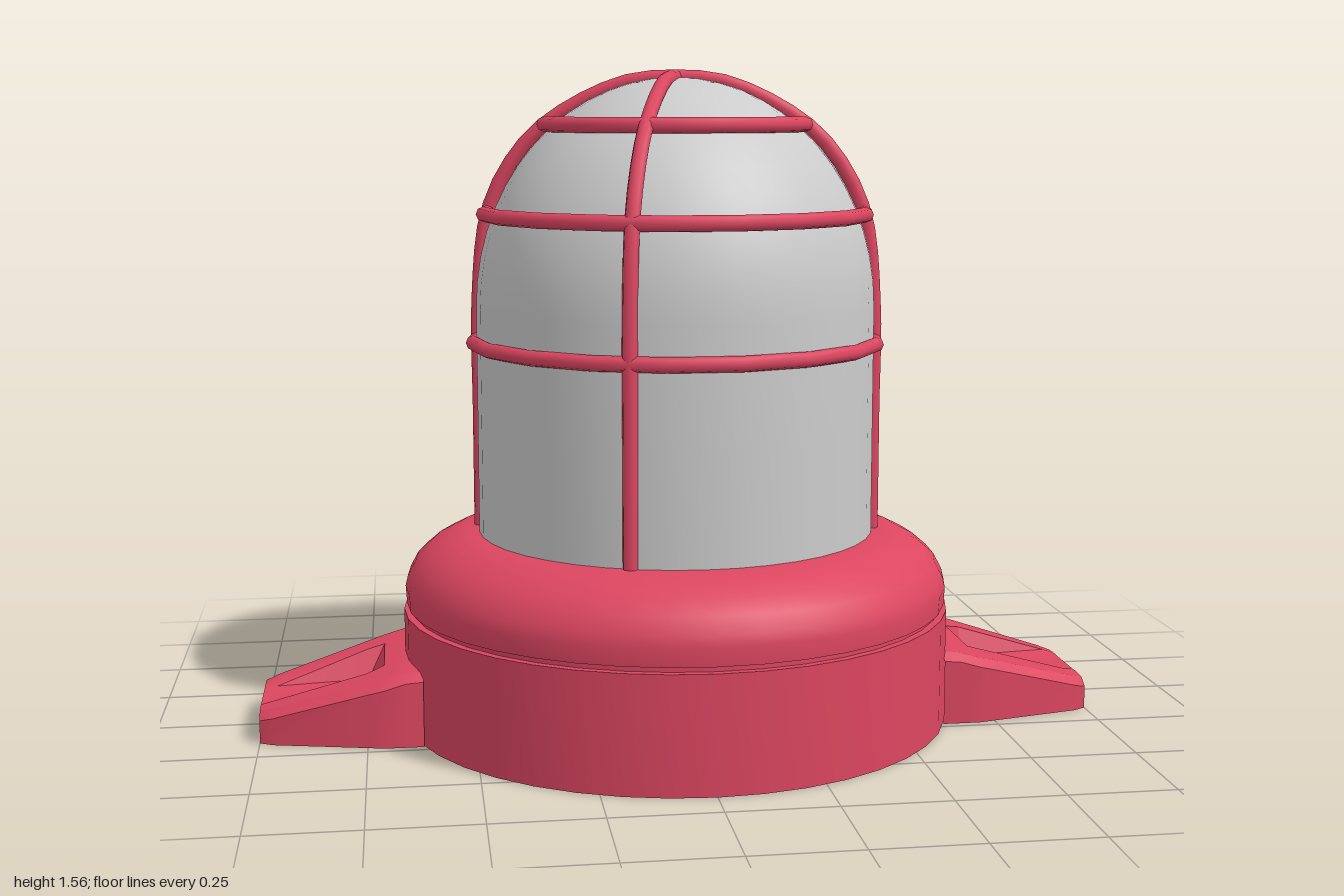
import * as THREE from 'three';
import { toCreasedNormals } from 'three/addons/utils/BufferGeometryUtils.js';

const red = new THREE.MeshStandardMaterial({ color: 0xdc4660, side: THREE.DoubleSide });
const grey = new THREE.MeshStandardMaterial({ color: 0xcccccc, side: THREE.DoubleSide });

function add(parent, name, geometry, material) {
  const mesh = new THREE.Mesh(geometry, material);
  mesh.name = name;
  parent.add(mesh);
  return mesh;
}

function lathe(points, segments = 40, crease = 0.6) {
  const profile = points.map(([r, y]) => new THREE.Vector2(r, y));
  return toCreasedNormals(new THREE.LatheGeometry(profile, segments), crease);
}

// Mounting foot: a hollow shell lofted along +x, with a sloped screw recess on top.
// Each station: x, half width, height, recess half width, recess floor height
function footGeometry() {
  const stations = [
    [0.62, 0.23, 0.175, 0.11, 0.175],
    [0.66, 0.23, 0.172, 0.11, 0.172],
    [0.71, 0.23, 0.157, 0.11, 0.157],
    [0.75, 0.22, 0.146, 0.108, 0.078],
    [0.97, 0.168, 0.083, 0.09, 0.074],
    [1.0, 0.15, 0.074, 0.085, 0.073],
  ];
  const sections = stations.map(([x, w, h, t, floor]) => {
    const half = [[w, 0], [w, h - 0.02], [w - 0.025, h - 0.002], [t, h], [t - 0.028, floor]];
    const loop = [...half.map(([z, y]) => [-z, y]), ...half.reverse()];
    return loop.map(([z, y]) => new THREE.Vector3(x, y, z));
  });
  const corners = [];
  for (let i = 0; i < sections.length - 1; i++) {
    const a = sections[i], b = sections[i + 1];
    for (let j = 0; j < a.length - 1; j++) {
      corners.push(a[j], a[j + 1], b[j], b[j], a[j + 1], b[j + 1]);
    }
  }
  // outer end cap
  const end = sections[sections.length - 1];
  const middle = new THREE.Vector3(1, 0, 0);
  for (let j = 0; j < end.length - 1; j++) corners.push(end[j], end[j + 1], middle);
  return toCreasedNormals(new THREE.BufferGeometry().setFromPoints(corners), 0.5);
}

export function createModel() {
  const model = new THREE.Group();
  model.name = 'cagedLamp';

  // hollow base, groove and rounded collar
  add(model, 'base', lathe([[0.66, 0], [0.66, 0.274], [0.635, 0.274]]), red);
  add(model, 'baseCeiling', lathe([[0, 0.262], [0.64, 0.262]]), red);
  add(model, 'groove', lathe([[0.642, 0.262], [0.642, 0.295]]), red);
  add(model, 'collar', lathe([
    [0.635, 0.287], [0.653, 0.287], [0.656, 0.33], [0.65, 0.355], [0.63, 0.392],
    [0.595, 0.422], [0.55, 0.445], [0.505, 0.458], [0.46, 0.458],
  ]), red);

  // glass: straight wall running into an elliptical dome
  const dome = [[0.477, 0.44], [0.477, 0.72]];
  for (let i = 0; i <= 14; i++) {
    const a = (i / 14) * Math.PI / 2;
    dome.push([0.477 * Math.cos(a), 1.0 + 0.54 * Math.sin(a)]);
  }
  add(model, 'glassDome', lathe(dome, 40, 1), grey);

  // wire cage
  const cage = new THREE.Group();
  cage.name = 'cage';
  model.add(cage);
  for (const [radius, y] of [[0.485, 0.915], [0.457, 1.22], [0.312, 1.43]]) {
    const ring = add(cage, 'cageRing', new THREE.TorusGeometry(radius, 0.018, 8, 18), red);
    ring.rotation.x = Math.PI / 2;
    ring.position.y = y;
  }
  const side = [[0.475, 0.44], [0.475, 0.75], [0.475, 1.0], [0.45, 1.22],
    [0.39, 1.345], [0.305, 1.435], [0.13, 1.525]];
  const arch = [
    ...side.map(([x, y]) => new THREE.Vector3(-x, y, 0)),
    new THREE.Vector3(0, 1.54, 0),
    ...side.map(([x, y]) => new THREE.Vector3(x, y, 0)).reverse(),
  ];
  const archGeometry = new THREE.TubeGeometry(new THREE.CatmullRomCurve3(arch), 48, 0.018, 8);
  for (const degrees of [-10, 70]) {
    const rib = add(cage, 'cageRib', archGeometry, red);
    rib.rotation.y = THREE.MathUtils.degToRad(degrees);
  }

  // mounting feet on both sides
  const foot = footGeometry();
  add(model, 'leftFoot', foot, red);
  add(model, 'rightFoot', foot, red).rotation.y = Math.PI;

  return model;
}
